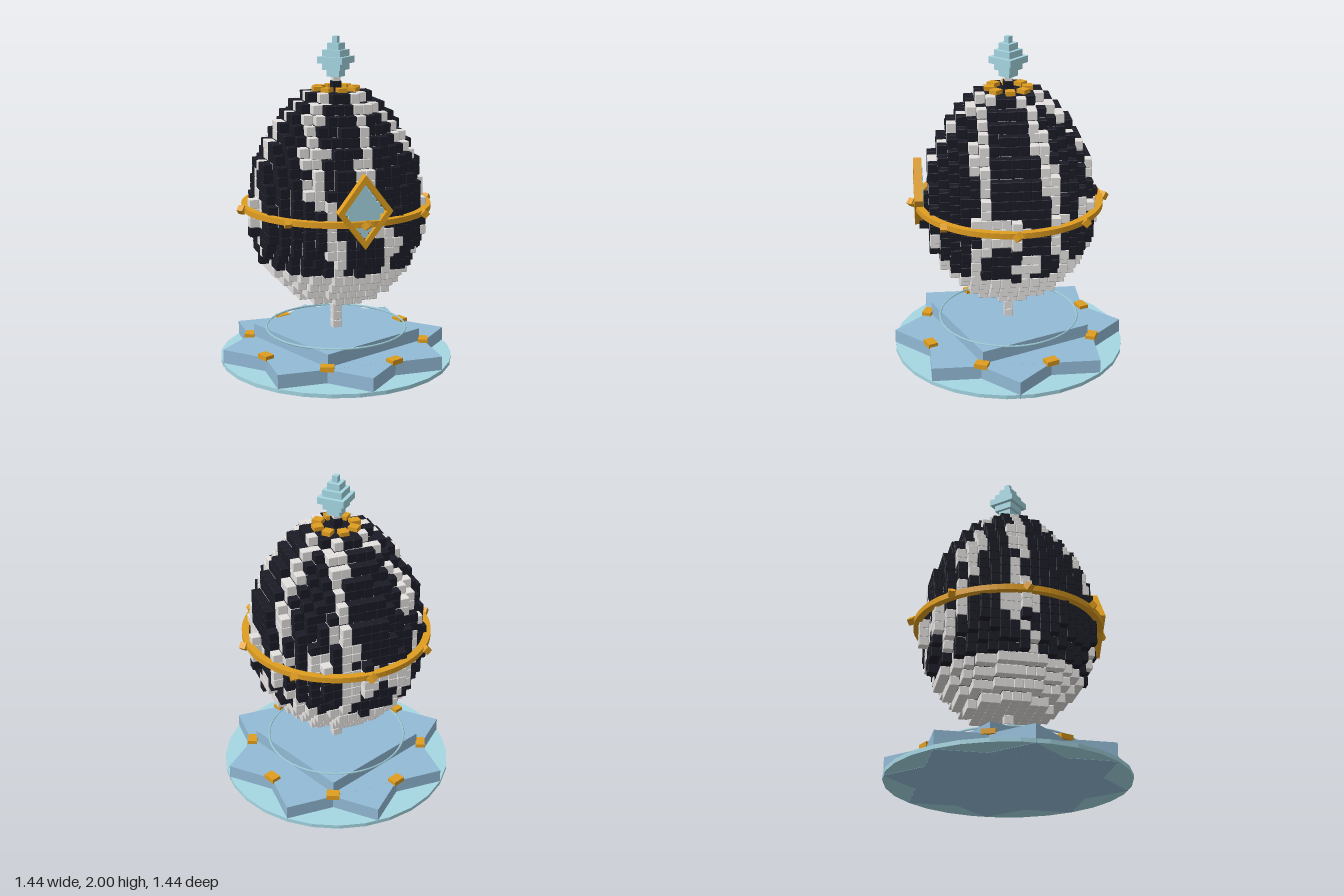
import * as THREE from 'three';
import { mergeGeometries } from 'three/addons/utils/BufferGeometryUtils.js';
import { ConvexGeometry } from 'three/addons/geometries/ConvexGeometry.js';

const mat = (name, color) => {
  const m = new THREE.MeshStandardMaterial({ color });
  m.name = name;
  return m;
};

export function createModel() {
  const model = new THREE.Group();
  const ink = mat('ink', 0x1b1b26), pale = mat('pale', 0xe4e1df), gold = mat('gold', 0xdf9d20);
  const ice = mat('ice', 0xa5d6e2), blue = mat('blue', 0x92bad6);

  const add = (name, geo, material, x = 0, y = 0, z = 0, ry = 0) => {
    const m = new THREE.Mesh(geo, material);
    m.name = name;
    m.position.set(x, y, z);
    m.rotation.y = ry;
    model.add(m);
    return m;
  };
  // Flat-sided prism
  const prism = (r, h, sides) => {
    const g = new THREE.CylinderGeometry(r, r, h, sides).toNonIndexed();
    g.computeVertexNormals();
    return g;
  };

  // Chamfered cube used for every block
  const P = 0.0576, bottom = 0.41;
  const corners = [];
  const h = P * 0.499, c = h - 0.003;
  for (const sx of [-1, 1]) for (const sy of [-1, 1]) for (const sz of [-1, 1]) {
    corners.push(new THREE.Vector3(sx * h, sy * c, sz * c),
      new THREE.Vector3(sx * c, sy * h, sz * c), new THREE.Vector3(sx * c, sy * c, sz * h));
  }
  const block = new ConvexGeometry(corners);

  // Egg: radius of every layer in blocks, top to bottom
  const radii = [3.2, 4.5, 5.5, 6.3, 6.96, 7.45, 7.9, 8.25, 8.5, 8.72, 8.9,
    9.02, 9.04, 9.04, 9.02, 8.75, 8.4, 8.03, 7.4, 6.7, 5.7, 4.35];
  const rows = radii.length;
  const inside = (x, r, z) => r >= 0 && r < rows && Math.hypot(x, z) <= radii[r];

  // Pale streaks: heading in degrees (0 is front) at these layers
  const keys = [0, 5, 9, 13, 17];
  const streaks = [
    [-50, -37, -30, -18, -16], [18, 7, 4, 20, 25], [45, 62, 68, 72, 54], [112, 116, 119, 116, 135],
    [158, 163, 166, 172, 163], [-135, -133, -128, -140, -150], [-95, -95, -93, -98, -82],
  ];
  // Pale patches: layer, heading, radius in blocks
  const patches = [[12, 82, 2.3], [16, 98, 1.5], [11, 146, 1.6], [12, -92, 2], [13, 178, 2],
    [8, -36, 1.3], [5, -39, 1.5], [13, -155, 1.6], [6, -132, 1.7], [7, 117, 1.5]];
  const turn = (a, b) => Math.abs(((a - b + 540) % 360 + 360) % 360 - 180) * Math.PI / 180;
  const isPale = (x, r, z) => {
    if (r >= 18) return true;
    const d = Math.hypot(x, z);
    if (d < 2.3) return false;
    const a = THREE.MathUtils.radToDeg(Math.atan2(x, z));
    let k = 0;
    while (k < 3 && r >= keys[k + 1]) k++;
    const t = (r - keys[k]) / (keys[k + 1] - keys[k]);
    const onStreak = streaks.some((s, i) => {
      const heading = THREE.MathUtils.lerp(s[k], s[k + 1], t) + 2 * Math.sin(r * 1.3 + i * 2);
      return turn(a, heading) * d < 0.78 + 0.25 * Math.sin(r * 0.9 + i * 1.7);
    });
    return onStreak || patches.some(([pr, pa, pd]) => Math.hypot(turn(a, pa) * d, (r - pr) * 1.2) < pd);
  };

  const cells = { ink: [], pale: [] };
  for (let r = 0; r < rows; r++) for (let x = -9; x <= 9; x++) for (let z = -9; z <= 9; z++) {
    if (!inside(x, r, z)) continue;
    const buried = inside(x + 1, r, z) && inside(x - 1, r, z) && inside(x, r, z + 1) &&
      inside(x, r, z - 1) && inside(x, r - 1, z) && inside(x, r + 1, z);
    if (buried) continue;
    cells[isPale(x, r, z) ? 'pale' : 'ink'].push(
      block.clone().translate(x * P, bottom + (rows - r - 0.5) * P, z * P));
  }
  add('eggInkBlocks', mergeGeometries(cells.ink), ink);
  add('eggPaleBlocks', mergeGeometries(cells.pale), pale);

  // Stem and neck
  for (let i = 0; i < 4; i++) add('stemBlock', block, pale, 0, bottom - (i + 0.5) * P, 0);
  add('neckBlock', block, ink, 0, bottom + (rows + 0.5) * P, 0);
  add('neckPin', new THREE.BoxGeometry(0.045, 0.03, 0.045), pale, 0, 1.747, 0);

  // Stepped crystal finial
  [0.058, 0.085, 0.117, 0.085, 0.056, 0.024].forEach((r, i) =>
    add('finialTier', prism(r, 0.04, 4), ice, 0, 1.78 + i * 0.04, 0));

  // Crown tabs, girdle studs and base clasps
  for (let i = 0; i < 8; i++) {
    const a = i * Math.PI / 4, b = a + Math.PI / 8;
    const s = Math.sin(a), k = Math.cos(a);
    add('crownTab', new THREE.BoxGeometry(0.055, 0.025, 0.06), gold, s * 0.115, 1.69, k * 0.115, a);
    const stud = add('girdleStud', new THREE.BoxGeometry(0.04, 0.04, 0.04), gold, s * 0.59, 0.98, k * 0.59);
    stud.rotation.set(Math.PI / 4, a + Math.PI / 4, 0, 'YXZ');
    add('baseClasp', new THREE.BoxGeometry(0.08, 0.03, 0.06), gold, Math.sin(b) * 0.545, 0.117, Math.cos(b) * 0.545, b);
  }

  // Girdle ring: a flat band
  const band = new THREE.Shape().absarc(0, 0, 0.578, 0, Math.PI * 2);
  band.holes.push(new THREE.Path().absarc(0, 0, 0.535, 0, Math.PI * 2, true));
  const girdle = new THREE.ExtrudeGeometry(band, { depth: 0.034, bevelEnabled: false, curveSegments: 40 });
  add('girdleRing', girdle.rotateX(-Math.PI / 2), gold, 0, 0.963, 0);

  // Lozenge frame with stepped gem
  const lozenge = (path, w, t) => {
    path.moveTo(0, t); path.lineTo(-w, 0); path.lineTo(0, -t); path.lineTo(w, 0); path.closePath();
    return path;
  };
  const frame = lozenge(new THREE.Shape(), 0.165, 0.217);
  frame.holes.push(lozenge(new THREE.Path(), 0.126, 0.166));
  add('lozengeFrame', new THREE.ExtrudeGeometry(frame, { depth: 0.05, bevelEnabled: false }), gold, 0, 1.05, 0.525);
  for (let i = -4; i <= 4; i++) {
    const w = 0.235 * (1 - Math.abs(i) / 5);
    add('gemStep', new THREE.BoxGeometry(w, 0.035, 0.03), ice, 0, 1.05 + i * 0.035, 0.535);
  }
  add('frameStud', prism(0.026, 0.02, 4).rotateX(Math.PI / 2), gold, 0, 0.98, 0.585);

  // Base: disc, eight-pointed star, turned square plinth, thin ring
  add('baseDisc', prism(0.723, 0.024, 28), ice, 0, 0.0135, 0, Math.PI / 28);
  for (const [ry, height] of [[0, 0.11], [Math.PI / 4, 0.1095]]) {
    add('baseStar', new THREE.BoxGeometry(1.02, height, 1.02), blue, 0, 0.055, 0, ry);
  }
  add('plinth', new THREE.BoxGeometry(0.736, 0.08, 0.736), blue, 0, 0.15, 0, Math.PI / 8);
  add('plinthRing', new THREE.TorusGeometry(0.435, 0.007, 4, 48).rotateX(Math.PI / 2), ice, 0, 0.193, 0);
  return model;
}
